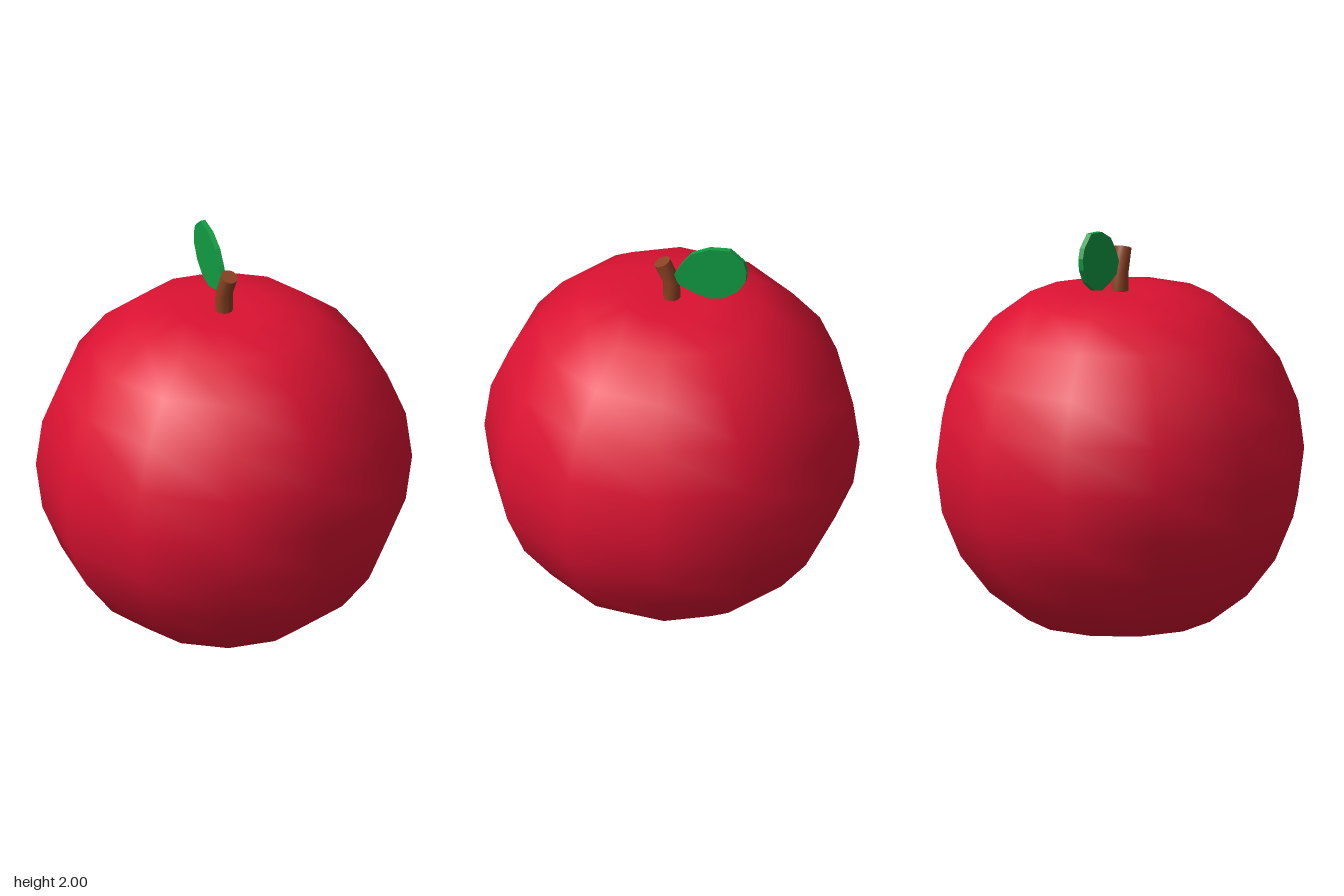
import * as THREE from 'three';

export function createModel() {
  const red = new THREE.MeshStandardMaterial({ color: 0xdc1232 });
  red.name = 'apple red';
  const brown = new THREE.MeshStandardMaterial({ color: 0x8b4223 });
  brown.name = 'stem brown';
  const green = new THREE.MeshStandardMaterial({ color: 0x119a42 });
  green.name = 'leaf green';

  const model = new THREE.Group();
  model.name = 'apple';
  const add = (name, geometry, material) => {
    const mesh = new THREE.Mesh(geometry, material);
    mesh.name = name;
    model.add(mesh);
    return mesh;
  };

  // Body: twelve-sided ball in 15 degree rings, pressed in at both ends
  const R = 0.93, centre = 0.807;
  const profile = [[0, 0.035], [0.24, 0.02]];
  for (let i = 2; i <= 10; i++) {
    const a = (i * Math.PI) / 12;
    profile.push([R * Math.sin(a), centre - R * Math.cos(a)]);
  }
  profile.push([0.24, 1.66], [0, 1.65]);
  const points = profile.map(([x, y]) => new THREE.Vector2(x, y));
  add('body', new THREE.LatheGeometry(points, 12), red);

  // Stem: a cylinder bent forward at its middle ring
  const stem = new THREE.CylinderGeometry(0.043, 0.043, 2, 12, 2);
  const rings = [
    { y: 1.63, z: 0, tilt: 0 },
    { y: 1.75, z: 0.003, tilt: 0.2 },
    { y: 1.859, z: 0.049, tilt: 0.42 },
  ];
  const p = stem.attributes.position;
  for (let i = 0; i < p.count; i++) {
    const ring = rings[Math.round(p.getY(i)) + 1];
    const z = p.getZ(i);
    p.setY(i, ring.y - z * Math.sin(ring.tilt));
    p.setZ(i, ring.z + z * Math.cos(ring.tilt));
  }
  stem.computeVertexNormals();
  add('stem', stem, brown);

  // Leaf: thin rounded plate reaching backward from the stem
  const outline = [
    [0.01, 1.79], [0.04, 1.745], [0.11, 1.712], [0.19, 1.69], [0.26, 1.705], [0.335, 1.76],
    [0.375, 1.83], [0.38, 1.89], [0.365, 1.94], [0.295, 2.0], [0.19, 1.988], [0.10, 1.94], [0.05, 1.87],
  ];
  const swing = 0.19;
  const shape = new THREE.Shape(outline.map(([u, y]) => new THREE.Vector2(u / Math.cos(swing), y)));
  const depth = 0.026;
  const leafGeometry = new THREE.ExtrudeGeometry(shape, { depth, bevelEnabled: false });
  leafGeometry.translate(0, 0, -depth / 2);
  const leaf = add('leaf', leafGeometry, green);
  leaf.rotation.y = Math.PI / 2 - swing;
  leaf.position.x = 0.008;

  return model;
}
